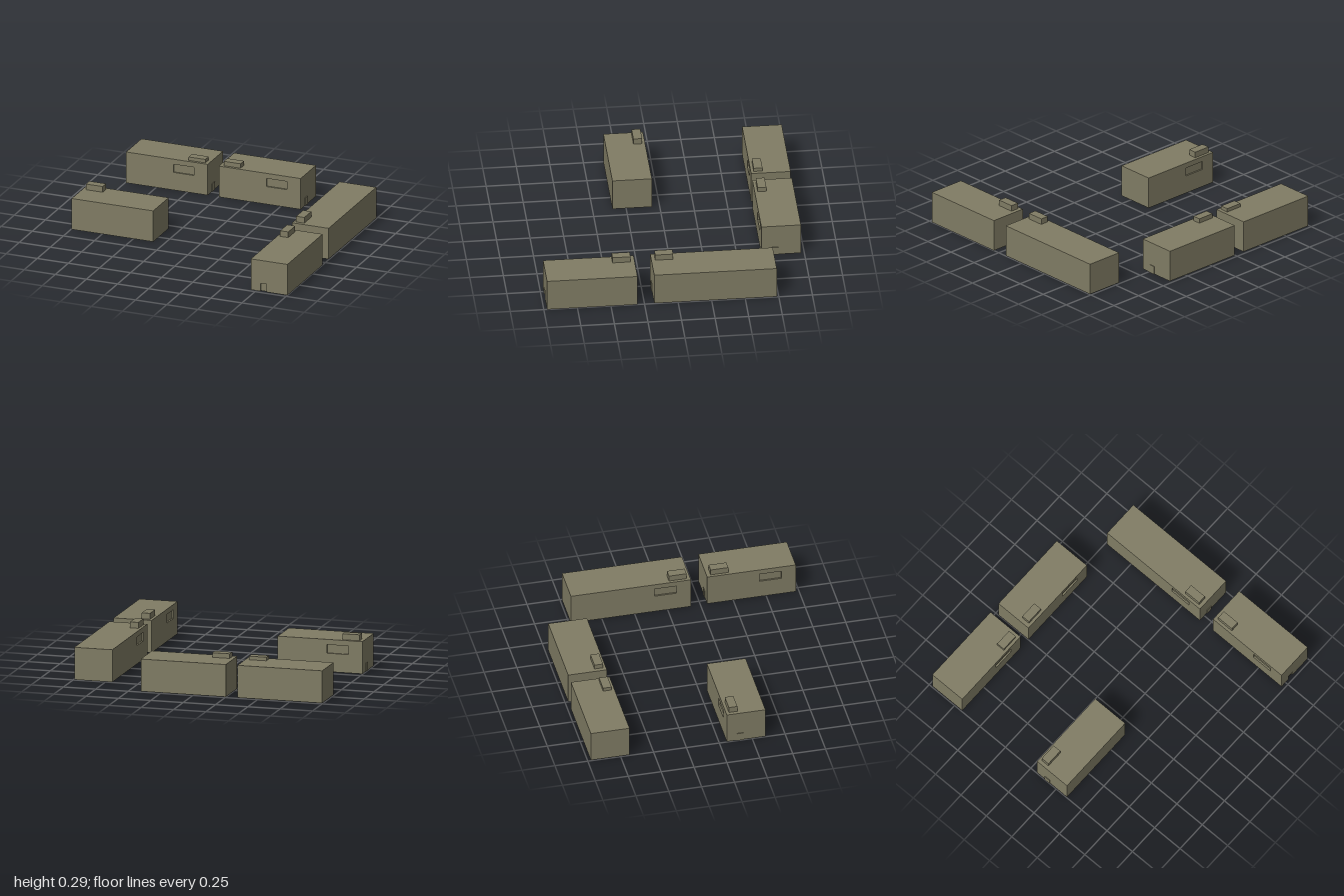
import * as THREE from 'three';

const material = new THREE.MeshStandardMaterial({ color: 0x807c64 });
material.name = 'olive grey';

const HEIGHT = 0.245;
const WIDTH = 0.294;
const RECESS = 0.012; // depth of window and doorway recesses

function addBox(parent, name, x0, x1, y0, y1, z0, z1) {
  const mesh = new THREE.Mesh(new THREE.BoxGeometry(x1 - x0, y1 - y0, z1 - z0), material);
  mesh.position.set((x0 + x1) / 2, (y0 + y1) / 2, (z0 + z1) / 2);
  mesh.name = name;
  parent.add(mesh);
}

function rectangle(Type, x0, x1, y0, y1) {
  return new Type([[x0, y0], [x1, y0], [x1, y1], [x0, y1]].map(p => new THREE.Vector2(...p)));
}

// Local layout: long axis x, door at the +x end, window on the +z wall
function building({ name, x, z, length, turn, chimneyTop, chimneyAtDoor, openDoor, rearDoor }) {
  const group = new THREE.Group();
  group.name = name;
  const end = length / 2, side = WIDTH / 2;
  const bodyEnd = openDoor ? end - RECESS : end;

  addBox(group, 'body', -end, bodyEnd, 0, HEIGHT, -side, side - RECESS);

  // Long wall with window recess
  const wall = rectangle(THREE.Shape, -end, bodyEnd, 0, HEIGHT);
  wall.holes.push(rectangle(THREE.Path, end - 0.275, end - 0.108, 0.14, 0.205));
  const windowWall = new THREE.Mesh(
    new THREE.ExtrudeGeometry(wall, { depth: RECESS, bevelEnabled: false }), material);
  windowWall.position.z = side - RECESS;
  windowWall.name = 'windowWall';
  group.add(windowWall);

  // Door: recessed opening or thin raised panel
  const d0 = side - 0.125, d1 = side - 0.078, doorTop = 0.063;
  if (openDoor) {
    addBox(group, 'doorWallFar', bodyEnd, end, 0, HEIGHT, -side, d0);
    addBox(group, 'doorWallNear', bodyEnd, end, 0, HEIGHT, d1, side);
    addBox(group, 'doorLintel', bodyEnd, end, doorTop, HEIGHT, d0, d1);
  } else {
    addBox(group, 'door', end, end + 0.005, 0, doorTop, d0, d1);
  }
  if (rearDoor) addBox(group, 'rearDoor', -end - 0.005, -end, 0, doorTop, d0, d1);

  // Roof vent
  const c = chimneyAtDoor ? end - 0.095 : -end + 0.098;
  addBox(group, 'roofVent', c - 0.067, c + 0.067, HEIGHT, chimneyTop, side - 0.087, side - 0.022);

  group.rotation.y = turn;
  group.position.set(x, 0, z);
  return group;
}

export function createModel() {
  const model = new THREE.Group();
  model.name = 'buildingCluster';
  const quarter = -Math.PI / 2;
  [
    { name: 'backRightBuilding', x: -0.665, z: -0.828, length: 0.655, turn: 0, chimneyTop: 0.272, chimneyAtDoor: true },
    { name: 'backMiddleBuilding', x: 0.081, z: -0.828, length: 0.657, turn: 0, chimneyTop: 0.28 },
    { name: 'frontRightBuilding', x: -0.668, z: 0.205, length: 0.655, turn: Math.PI, chimneyTop: 0.29, chimneyAtDoor: true },
    { name: 'frontLeftBuilding', x: 0.853, z: 0.639, length: 0.673, turn: quarter, chimneyTop: 0.29, openDoor: true, rearDoor: true },
    { name: 'longLeftBuilding', x: 0.848, z: -0.279, length: 0.912, turn: quarter, chimneyTop: 0.29, chimneyAtDoor: true },
  ].forEach(spec => model.add(building(spec)));
  return model;
}
